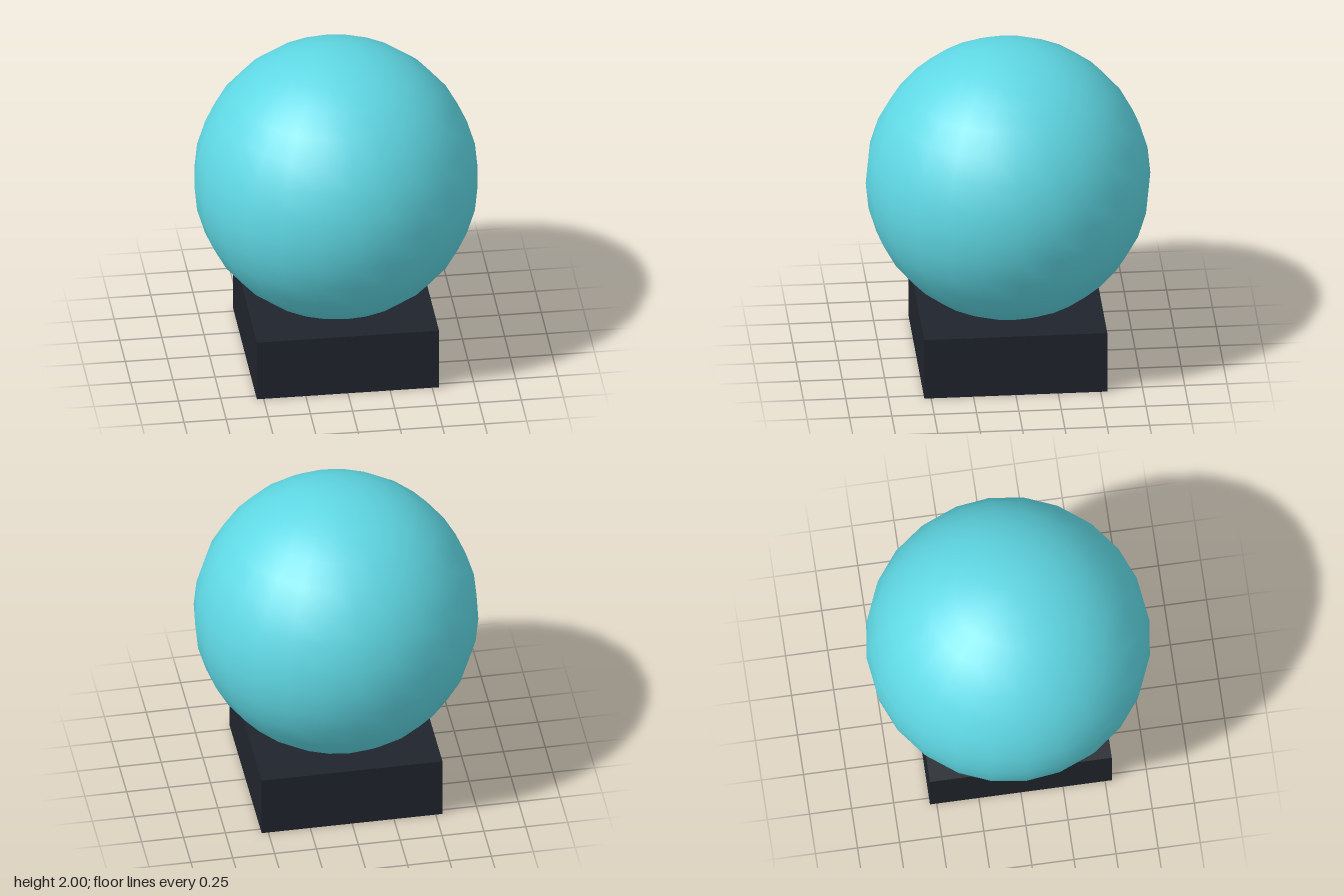
import * as THREE from 'three';

export function createModel() {
  const group = new THREE.Group();
  const add = (name, geometry, color, y) => {
    const mesh = new THREE.Mesh(geometry, new THREE.MeshStandardMaterial({ color }));
    mesh.name = name;
    mesh.position.y = y;
    group.add(mesh);
  };

  // Square plinth
  const baseHeight = 0.385;
  add('base', new THREE.BoxGeometry(1.08, baseHeight, 1.08), 0x20242c, baseHeight / 2);

  // Smooth ball, sunk slightly into the plinth
  const radius = 0.84;
  add('ball', new THREE.SphereGeometry(radius, 24, 16), 0x5fd8e4, 2 - radius);

  return group;
}
